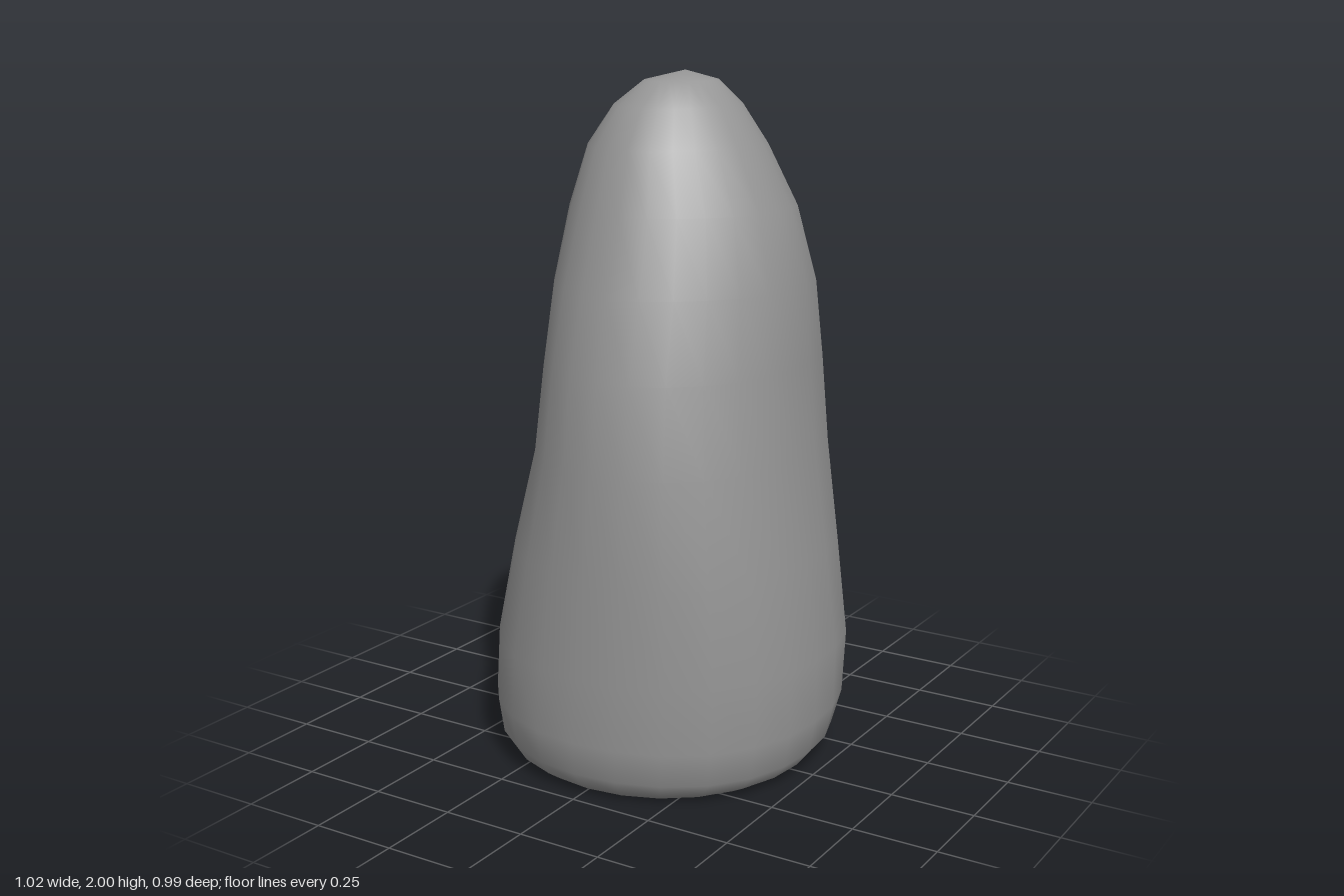
import * as THREE from 'three';

// Cross-sections from the open base to the crown: y, xMin, xMax, zMin, zMax,
// then the swelling of the corners: left front, right front, right back, left back
const SECTIONS = [
  [0.012, -0.38, 0.37, -0.37, 0.39, 0, 0, 0, 0],
  [0.003, -0.42, 0.41, -0.40, 0.42, 0.01, 0, 0, 0.01],
  [0.025, -0.47, 0.45, -0.44, 0.45, 0.02, 0, 0.01, 0.03],
  [0.07, -0.50, 0.485, -0.475, 0.48, 0.03, 0, 0.02, 0.05],
  [0.17, -0.515, 0.505, -0.49, 0.495, 0.03, 0, 0.02, 0.07],
  [0.36, -0.49, 0.51, -0.48, 0.495, 0.03, 0.02, 0.01, 0.09],
  [0.65, -0.415, 0.48, -0.445, 0.49, 0.05, 0.02, 0, 0.1],
  [0.95, -0.33, 0.445, -0.42, 0.48, 0.02, 0.01, -0.04, 0.1],
  [1.2, -0.31, 0.425, -0.40, 0.45, -0.02, 0, -0.05, 0.1],
  [1.42, -0.295, 0.41, -0.37, 0.395, -0.06, 0, -0.06, 0.08],
  [1.63, -0.265, 0.36, -0.325, 0.32, -0.07, 0, -0.07, 0.05],
  [1.8, -0.215, 0.275, -0.265, 0.25, -0.06, 0.01, -0.06, 0.04],
  [1.91, -0.14, 0.205, -0.20, 0.18, -0.05, 0.02, -0.05, 0.03],
  [1.975, -0.07, 0.135, -0.14, 0.085, 0, 0, 0, 0],
];
const APEX = [0.025, 2, -0.06];
const SIDES = 24;

// Smooth shell lofted through lopsided oval rings
function stoneGeometry() {
  const positions = [];
  const index = [];
  for (const [y, x0, x1, z0, z1, ...corners] of SECTIONS) {
    for (let i = 0; i < SIDES; i++) {
      const a = (i / SIDES) * Math.PI * 2;
      const quadrant = Math.floor((i * 4) / SIDES);
      const swell = 1 + corners[quadrant] * Math.sin(2 * a) ** 2;
      positions.push(
        (x0 + x1) / 2 + ((x1 - x0) / 2) * Math.cos(a) * swell,
        y,
        (z0 + z1) / 2 + ((z1 - z0) / 2) * Math.sin(a) * swell,
      );
    }
  }
  const apex = positions.length / 3;
  positions.push(...APEX);

  for (let j = 0; j < SECTIONS.length; j++) {
    for (let i = 0; i < SIDES; i++) {
      const a = j * SIDES + i;
      const d = j * SIDES + ((i + 1) % SIDES);
      if (j === SECTIONS.length - 1) index.push(a, apex, d);
      else index.push(a, a + SIDES, d + SIDES, a, d + SIDES, d);
    }
  }

  const geometry = new THREE.BufferGeometry();
  geometry.setAttribute('position', new THREE.Float32BufferAttribute(positions, 3));
  geometry.setIndex(index);
  geometry.computeVertexNormals();
  return geometry;
}

export function createModel() {
  const group = new THREE.Group();
  group.name = 'standingStone';
  // Hollow underneath, so the inside is visible too
  const material = new THREE.MeshStandardMaterial({ color: 0x979797, side: THREE.DoubleSide });
  const stone = new THREE.Mesh(stoneGeometry(), material);
  stone.name = 'stone';
  group.add(stone);
  return group;
}
